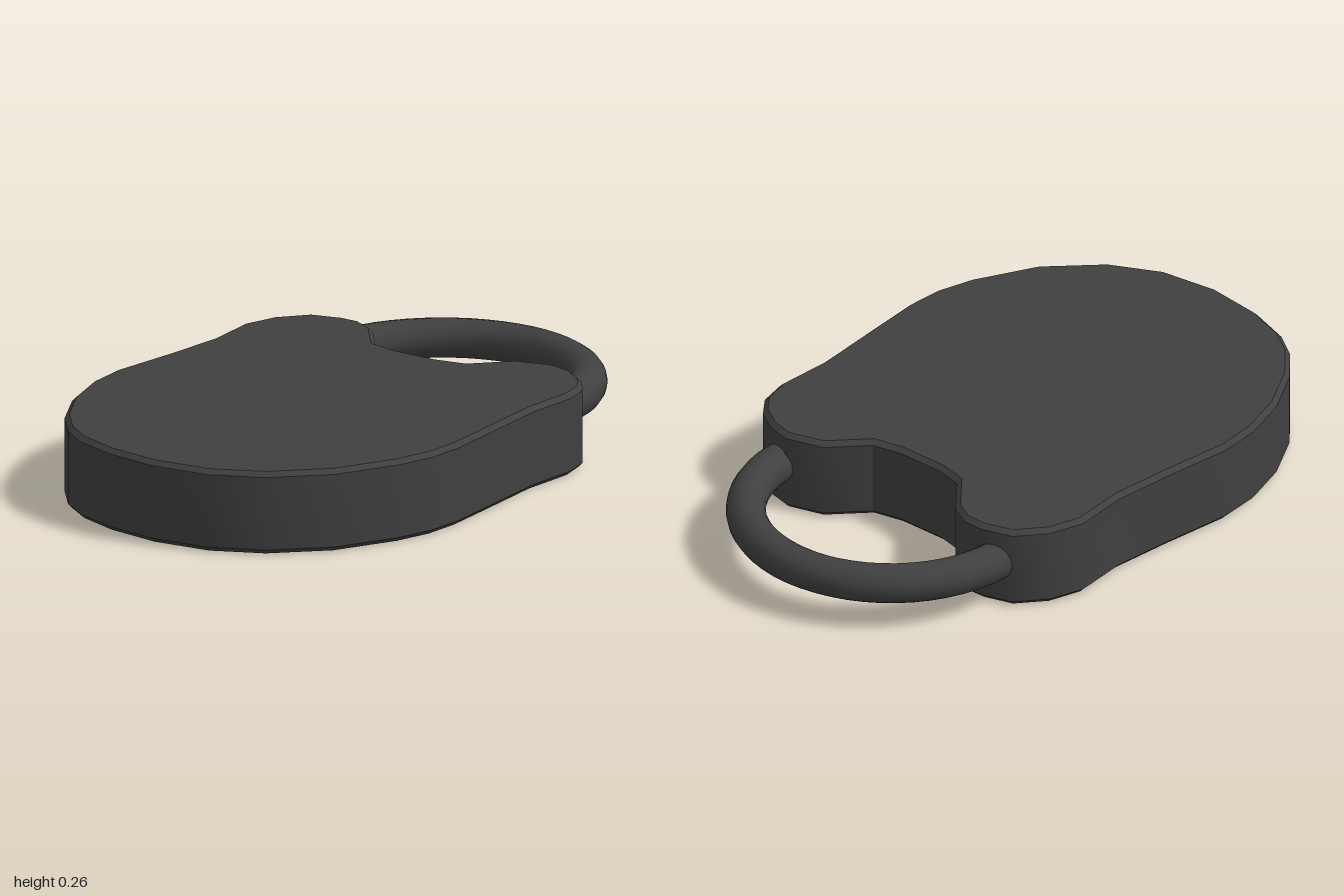
import * as THREE from 'three';
import { toCreasedNormals } from 'three/addons/utils/BufferGeometryUtils.js';

const HEIGHT = 0.26, BEVEL = 0.015;

// Body outline as [x, z], starting at the rounded front
const OUTLINE = [
  [0, 0.99], [0.19, 0.965], [0.35, 0.885], [0.5, 0.735], [0.6, 0.54], [0.635, 0.42],
  [0.643, 0.3], [0.633, 0.16], [0.61, -0.13], [0.62, -0.31], [0.6, -0.4], [0.55, -0.465],
  [0.48, -0.51], [0.4, -0.53], [0.28, -0.495], [0.175, -0.385], [0.08, -0.365],
  [-0.08, -0.365], [-0.165, -0.385], [-0.265, -0.505], [-0.335, -0.54], [-0.4, -0.54],
  [-0.5, -0.51], [-0.575, -0.42], [-0.61, -0.31], [-0.595, -0.13], [-0.615, 0.08],
  [-0.643, 0.3], [-0.633, 0.44], [-0.585, 0.6], [-0.5, 0.755], [-0.41, 0.86],
  [-0.32, 0.92], [-0.18, 0.968],
];

export function createModel() {
  const group = new THREE.Group();
  const material = new THREE.MeshStandardMaterial({ color: 0x404040 });

  // Flat slab body with a thin chamfer along both rims
  const shape = new THREE.Shape(OUTLINE.map(([x, z]) => new THREE.Vector2(x, z)));
  const slab = new THREE.ExtrudeGeometry(shape, {
    depth: HEIGHT - 2 * BEVEL, bevelThickness: BEVEL, bevelSize: BEVEL,
    bevelOffset: -BEVEL, bevelSegments: 1,
  });
  slab.rotateX(Math.PI / 2).translate(0, HEIGHT - BEVEL, 0);
  const body = new THREE.Mesh(toCreasedNormals(slab, 0.6), material);
  body.name = 'body';
  group.add(body);

  // Half-ring shackle whose straight ends sink into the two lobes
  const R = 0.44, Y = 0.14, Z = -0.5;
  const path = new THREE.CurvePath();
  const arc = [];
  for (let i = 0; i <= 16; i++) {
    const a = (i / 16) * Math.PI;
    arc.push(new THREE.Vector3(R * Math.cos(a), Y, Z - R * Math.sin(a)));
  }
  const end = (x) => new THREE.Vector3(x, Y, Z + 0.08);
  path.add(new THREE.LineCurve3(end(R), arc[0]));
  path.add(new THREE.CatmullRomCurve3(arc));
  path.add(new THREE.LineCurve3(arc[16], end(-R)));
  const shackle = new THREE.Mesh(new THREE.TubeGeometry(path, 32, 0.061, 16), material);
  shackle.name = 'shackle';
  group.add(shackle);

  return group;
}
